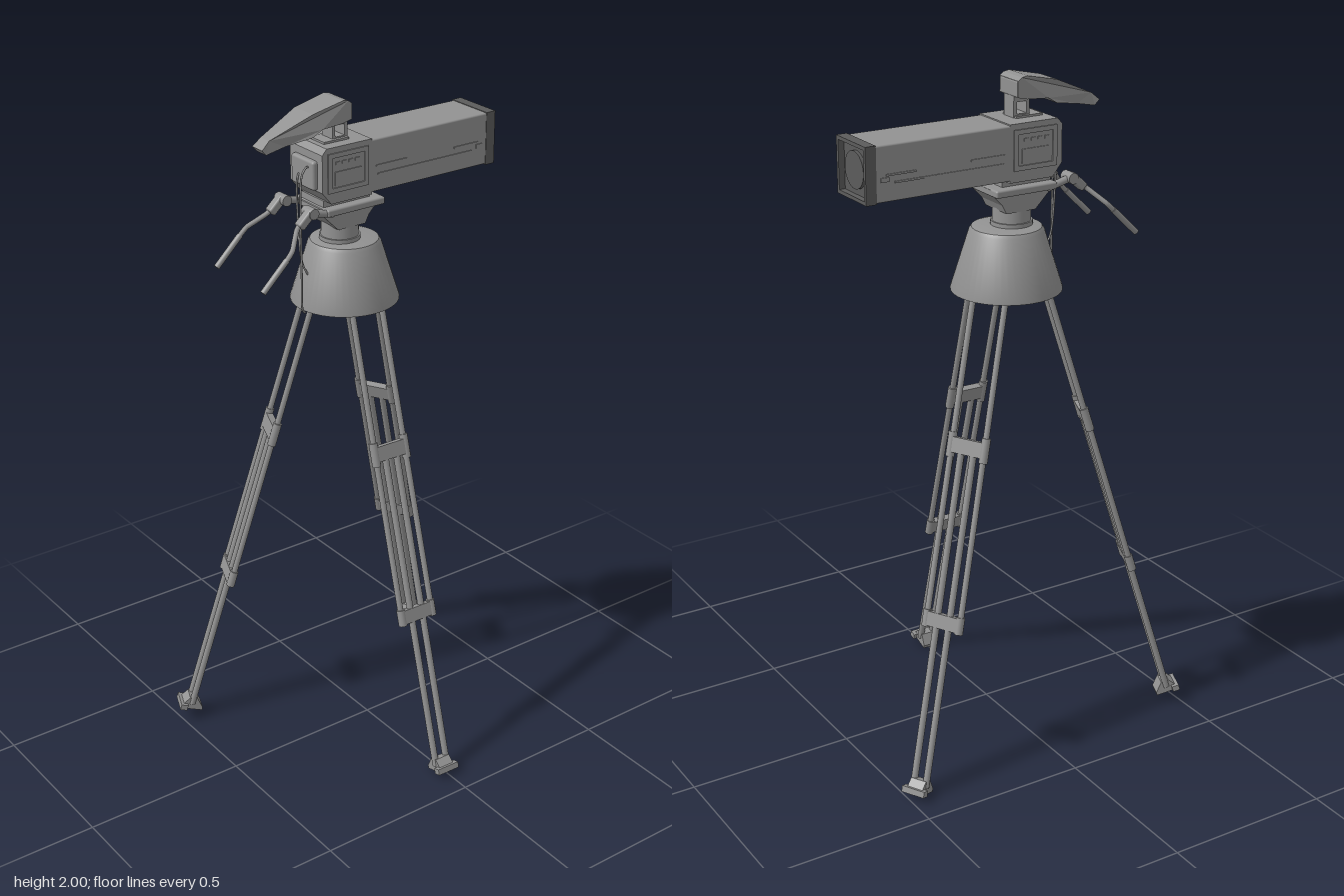
import * as THREE from 'three';
import { RoundedBoxGeometry } from 'three/addons/geometries/RoundedBoxGeometry.js';
import { toCreasedNormals } from 'three/addons/utils/BufferGeometryUtils.js';

const grey = new THREE.MeshStandardMaterial({ color: 0x929292 });
const greyDouble = new THREE.MeshStandardMaterial({ color: 0x929292, side: THREE.DoubleSide });
const dark = new THREE.MeshStandardMaterial({ color: 0x5c5c5c });
const V = (x, y, z) => new THREE.Vector3(x, y, z);
const CZ = -0.125; // depth of the head axis

function add(parent, name, geo, x = 0, y = 0, z = 0, mat = grey) {
  const m = new THREE.Mesh(geo, mat);
  m.name = name;
  m.position.set(x, y, z);
  parent.add(m);
  return m;
}
const box = (w, h, d) => new THREE.BoxGeometry(w, h, d);
const rounded = (w, h, d, r) => new RoundedBoxGeometry(w, h, d, 2, r);

function rod(parent, name, a, b, r, sides = 12) {
  const d = b.clone().sub(a);
  const m = add(parent, name, new THREE.CylinderGeometry(r, r, d.length(), sides));
  m.position.copy(a).addScaledVector(d, 0.5);
  m.quaternion.setFromUnitVectors(V(0, 1, 0), d.normalize());
}
function tube(parent, name, pts, r, tension = 0.5) {
  const curve = new THREE.CatmullRomCurve3(pts, false, 'catmullrom', tension);
  add(parent, name, new THREE.TubeGeometry(curve, 40, r, 8), 0, 0, 0, greyDouble);
}
// profile in x/y, extruded about z = 0
function plate(pts, depth, hole) {
  const shape = new THREE.Shape(pts.map(p => new THREE.Vector2(...p)));
  if (hole) shape.holes.push(new THREE.Path(hole.map(p => new THREE.Vector2(...p))));
  return new THREE.ExtrudeGeometry(shape, { depth, bevelEnabled: false }).translate(0, 0, -depth / 2);
}
const rect = (w, h) => [[-w / 2, -h / 2], [w / 2, -h / 2], [w / 2, h / 2], [-w / 2, h / 2]];

// One leg: local y runs from foot to head, x across, z outwards
function makeLeg(name, foot, top) {
  const leg = new THREE.Group();
  leg.name = name;
  const up = top.clone().sub(foot), len = up.length();
  up.normalize();
  const across = V(0, 1, 0).cross(V(foot.x - top.x, 0, foot.z - top.z)).normalize();
  const out = across.clone().cross(up);
  leg.quaternion.setFromRotationMatrix(new THREE.Matrix4().makeBasis(across, up, out));
  leg.position.copy(foot);
  const low = len * 0.345, high = len * 0.702;
  for (const s of [-1, 1]) {
    rod(leg, 'outerRod', V(s * 0.055, low - 0.02, 0), V(s * 0.051, len + 0.12, 0), 0.009);
    rod(leg, 'innerRod', V(s * 0.02, 0, 0), V(s * 0.02, high + 0.02, 0), 0.01);
    rod(leg, 'lowerSleeve', V(s * 0.054, low - 0.025, 0), V(s * 0.054, low + 0.025, 0), 0.013);
    rod(leg, 'upperSleeve', V(s * 0.054, high - 0.036, 0), V(s * 0.054, high + 0.036, 0), 0.013);
  }
  add(leg, 'lowerClamp', box(0.108, 0.042, 0.022), 0, low, 0);
  add(leg, 'upperClamp', box(0.108, 0.045, 0.022), 0, high, 0);
  // wedge shoe with a wider toe bar
  const shoe = plate([[-0.036, -0.018], [0.03, -0.018], [0.03, -0.004], [0.012, 0.022], [-0.012, 0.022], [-0.036, -0.008]], 0.05);
  add(leg, 'footShoe', shoe.rotateY(-Math.PI / 2));
  add(leg, 'footToe', box(0.074, 0.018, 0.022), 0, -0.009, 0.026);
  return leg;
}

function makeHead() {
  const head = new THREE.Group();
  head.name = 'tripodHead';
  // hollow skirt over the leg tops
  const profile = [[0, 1.577], [0.088, 1.577], [0.1, 1.574], [0.107, 1.564], [0.16, 1.395], [0.16, 1.39], [0.154, 1.39], [0.1, 1.555], [0, 1.56]];
  const skirt = new THREE.LatheGeometry(profile.map(p => new THREE.Vector2(...p)).reverse(), 48);
  add(head, 'skirt', toCreasedNormals(skirt, 0.6), 0.01, 0, CZ, greyDouble);
  add(head, 'hub', new THREE.CylinderGeometry(0.04, 0.04, 0.09, 24), 0.01, 1.52, CZ);
  add(head, 'neck', new THREE.CylinderGeometry(0.054, 0.056, 0.07, 32), -0.006, 1.605, CZ);
  add(head, 'neckCollar', new THREE.CylinderGeometry(0.06, 0.06, 0.012, 32), -0.006, 1.584, CZ);
  add(head, 'cradle', plate([[-0.05, 1.625], [0.045, 1.625], [0.058, 1.65], [0.095, 1.688], [0.095, 1.7], [-0.11, 1.7], [-0.11, 1.685]], 0.11), 0, 0, CZ);
  add(head, 'mountPlate', rounded(0.2, 0.022, 0.168, 0.006), -0.005, 1.692, CZ);
  add(head, 'slidePlate', box(0.16, 0.025, 0.11), -0.02, 1.71, CZ);
  // twin pan handles
  for (const s of [-1, 1]) {
    const z = d => CZ + s * d;
    rod(head, 'handleArm', V(-0.08, 1.685, z(0.07)), V(-0.16, 1.705, z(0.07)), 0.011);
    rod(head, 'handlePivot', V(-0.155, 1.705, z(0.045)), V(-0.155, 1.705, z(0.09)), 0.016, 16);
    const clamp = add(head, 'handleClamp', rounded(0.06, 0.026, 0.028, 0.006), -0.175, 1.692, z(0.073));
    clamp.rotation.z = 0.74;
    tube(head, 'panHandle', [V(-0.16, 1.707, z(0.075)), V(-0.205, 1.67, z(0.076)), V(-0.248, 1.628, z(0.115)), V(-0.27, 1.606, z(0.119)), V(-0.35, 1.53, z(0.119))], 0.0075, 0.2);
    rod(head, 'handleGrip', V(-0.27, 1.606, z(0.119)), V(-0.352, 1.527, z(0.119)), 0.009);
  }
  return head;
}

function makeCamera() {
  const cam = new THREE.Group();
  cam.name = 'camera';
  const back = [[-0.09, 1.718], [0.05, 1.718], [0.05, 1.882], [-0.105, 1.882], [-0.12, 1.865], [-0.12, 1.755]];
  add(cam, 'body', plate(back, 0.158), 0, 0, CZ);
  add(cam, 'rearPanel', rounded(0.026, 0.085, 0.11, 0.008), -0.122, 1.8, CZ);
  add(cam, 'lensHousing', rounded(0.43, 0.155, 0.158, 0.005), 0.257, 1.801, CZ);

  // square hood rim with a recessed lens
  const rim = plate(rect(0.161, 0.159), 0.032, rect(0.14, 0.138)).rotateY(Math.PI / 2);
  add(cam, 'hoodRim', rim, 0.481, 1.801, CZ, dark);
  add(cam, 'frontPanel', box(0.01, 0.144, 0.146), 0.474, 1.801, CZ, dark);
  const lens = add(cam, 'lens', new THREE.CylinderGeometry(0.052, 0.052, 0.012, 32), 0.482, 1.801, CZ, dark);
  lens.rotation.z = Math.PI / 2;

  // side panels, mirrored
  for (const s of [-1, 1]) {
    const z = CZ + s * 0.079;
    add(cam, 'sideFrame', plate(rect(0.14, 0.115), 0.008, rect(0.112, 0.088)), -0.032, 1.808, z);
    add(cam, 'sideScreen', box(0.09, 0.04, 0.006), -0.033, 1.79, z);
    for (let i = 0; i < 4; i++) add(cam, 'sideButton', box(0.014, 0.008, 0.006), -0.068 + i * 0.022, 1.835, z);
    add(cam, 'longRail', box(0.34, 0.005, 0.006), 0.24, 1.775, z);
    add(cam, 'shortRail', box(0.11, 0.005, 0.006), 0.12, 1.8, z);
    add(cam, 'rearRail', box(0.09, 0.005, 0.006), 0.39, 1.797, z);
    add(cam, 'latch', box(0.025, 0.012, 0.006), 0.44, 1.785, z);
  }

  // viewfinder hood: narrows towards the eyepiece
  const outline = [[-0.272, 1.884], [-0.21, 1.897], [-0.13, 1.912], [-0.1, 1.93], [-0.03, 1.935], [0, 1.942], [0, 1.988], [-0.012, 1.997], [-0.03, 2], [-0.13, 1.978], [-0.21, 1.944], [-0.26, 1.922], [-0.286, 1.9]];
  const finder = plate(outline, 1);
  const stations = [[-0.286, 0.05], [-0.26, 0.042], [-0.21, 0.05], [-0.13, 0.088], [-0.1, 0.094], [0, 0.094]];
  const p = finder.attributes.position;
  for (let i = 0; i < p.count; i++) {
    const x = p.getX(i);
    let k = 1;
    while (k < stations.length - 1 && x > stations[k][0]) k++;
    const [x0, w0] = stations[k - 1], [x1, w1] = stations[k];
    p.setZ(i, p.getZ(i) * THREE.MathUtils.lerp(w0, w1, (x - x0) / (x1 - x0)));
  }
  finder.computeVertexNormals();
  add(cam, 'viewfinder', finder, 0, 0, -0.118);
  add(cam, 'finderFront', rounded(0.016, 0.046, 0.09, 0.005), -0.006, 1.965, -0.118);
  // bracket carrying the viewfinder
  const bracket = [[-0.052, 0], [0, 0], [0, 0.062], [-0.052, 0.062]];
  const gap = [[-0.042, 0.012], [-0.01, 0.012], [-0.01, 0.045], [-0.042, 0.045]];
  add(cam, 'finderBracket', plate(bracket, 0.05, gap), 0, 1.88, -0.118);
  add(cam, 'bracketBase', box(0.085, 0.008, 0.07), -0.045, 1.884, -0.118);

  // hanging cables
  tube(cam, 'rearCable', [V(-0.12, 1.82, -0.1), V(-0.15, 1.82, -0.09), V(-0.168, 1.76, -0.085), V(-0.168, 1.5, -0.085), V(-0.165, 1.41, -0.09), V(-0.148, 1.385, -0.1)], 0.003);
  tube(cam, 'frontCable', [V(-0.12, 1.8, -0.14), V(-0.14, 1.78, -0.14), V(-0.145, 1.68, -0.135), V(-0.138, 1.54, -0.13), V(-0.115, 1.48, -0.125)], 0.003);
  return cam;
}

export function createModel() {
  const model = new THREE.Group();
  model.name = 'cameraOnTripod';
  model.add(
    makeLeg('frontLeg', V(-0.006, 0.025, 0.389), V(0.002, 1.39, -0.004)),
    makeLeg('backLeftLeg', V(0.46, 0.025, -0.378), V(0.103, 1.39, -0.183)),
    makeLeg('backRightLeg', V(-0.464, 0.052, -0.315), V(-0.093, 1.39, -0.166)),
    makeHead(),
    makeCamera()
  );
  return model;
}
